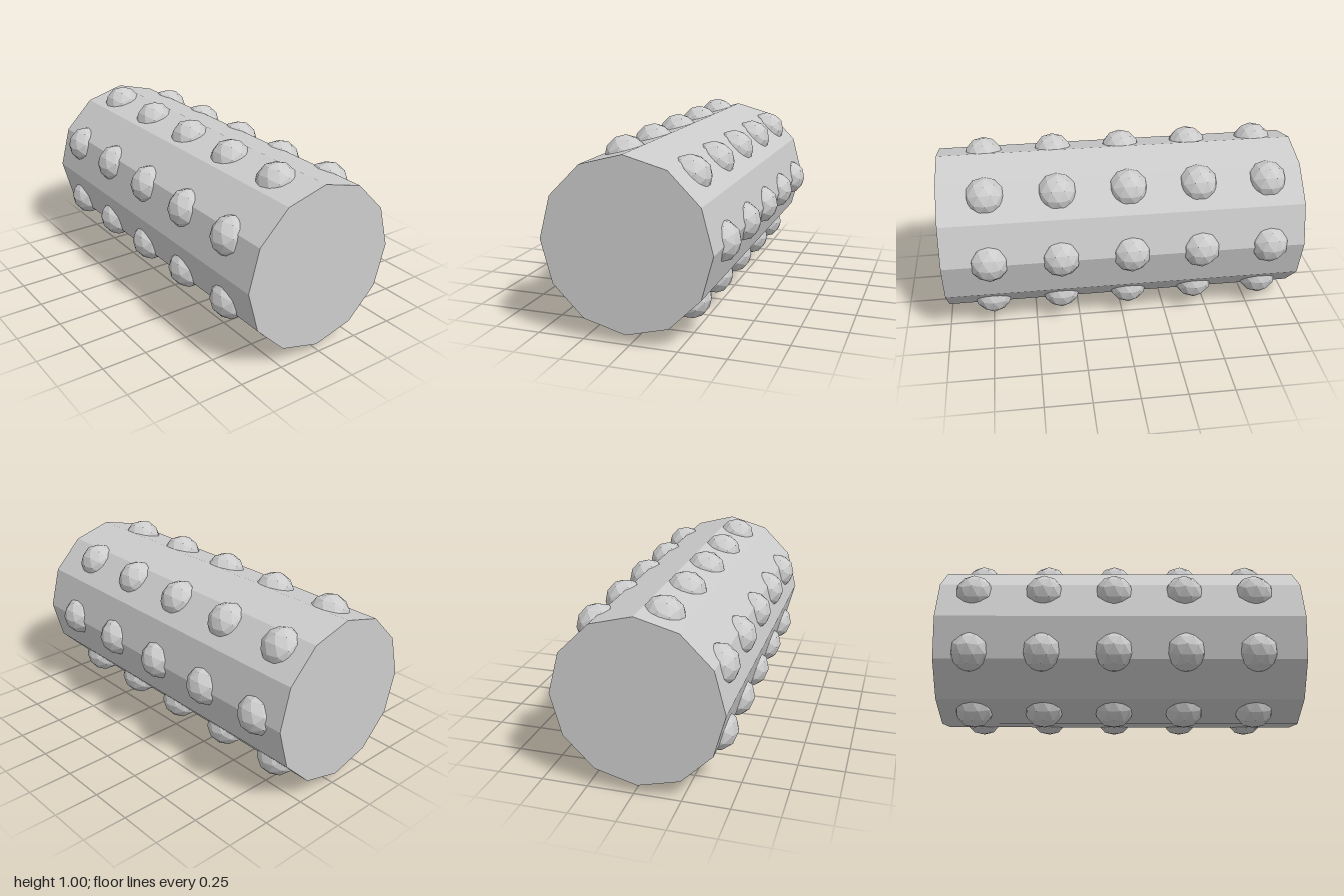
import * as THREE from 'three';

export function createModel() {
  const group = new THREE.Group();
  group.name = 'studdedRoller';
  const grey = new THREE.MeshStandardMaterial({ color: 0xcccccc, flatShading: true });
  grey.name = 'grey';

  // Axis of the roller, slightly off centre because the stud ring has seven studs
  const roller = new THREE.Group();
  roller.name = 'roller';
  roller.position.set(-0.02, 0.5, 0);
  group.add(roller);

  // Twelve-sided body lying along z
  const bodyGeometry = new THREE.CylinderGeometry(0.45, 0.45, 2, 12);
  bodyGeometry.rotateX(Math.PI / 2);
  const body = new THREE.Mesh(bodyGeometry, grey);
  body.name = 'body';
  roller.add(body);

  // Five rings of seven faceted studs, half sunk into the body
  const studGeometry = new THREE.IcosahedronGeometry(0.11, 1);
  const rings = 5, studsPerRing = 7, ringRadius = 0.4;
  for (let i = 0; i < rings; i++) {
    const ring = new THREE.Group();
    ring.name = `studRing${i + 1}`;
    ring.position.z = -0.807 + i * 0.387;
    for (let k = 0; k < studsPerRing; k++) {
      const angle = (k / studsPerRing) * Math.PI * 2;
      const stud = new THREE.Mesh(studGeometry, grey);
      stud.name = `stud${k + 1}`;
      stud.position.set(Math.cos(angle) * ringRadius, Math.sin(angle) * ringRadius, 0);
      ring.add(stud);
    }
    roller.add(ring);
  }
  return group;
}
